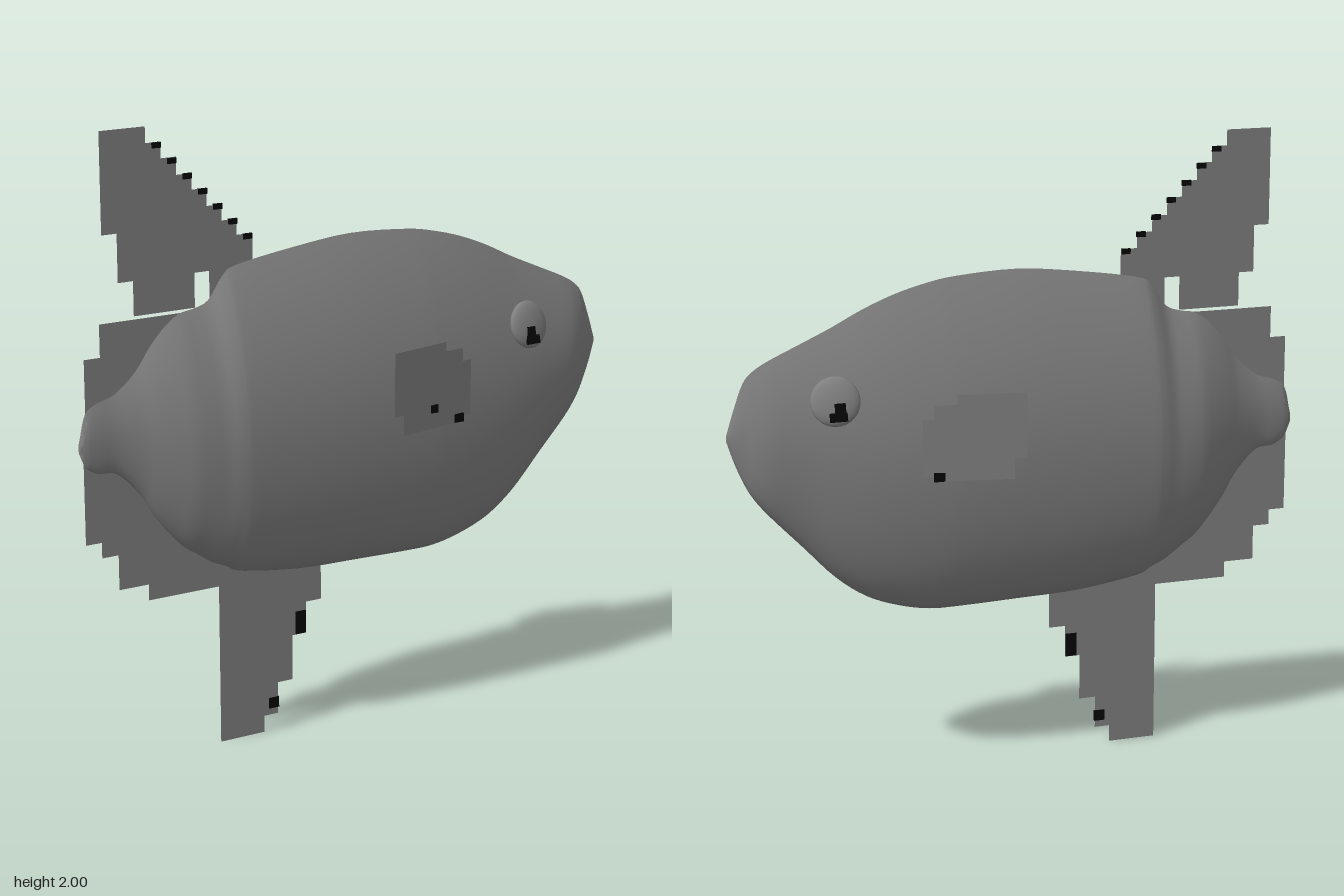
import * as THREE from 'three';
import { toCreasedNormals } from 'three/addons/utils/BufferGeometryUtils.js';

const grey = new THREE.MeshStandardMaterial({ name: 'skin grey', color: 0x808080 });
const finGrey = new THREE.MeshStandardMaterial({ name: 'fin grey', color: 0x808080, side: THREE.DoubleSide });
const black = new THREE.MeshStandardMaterial({ name: 'black', color: 0x050505 });

// Body stations from tail to nose: x, top y, bottom y, half width
const stations = [
  [-0.94, 1.07, 1.03, 0.008], [-0.92, 1.15, 0.985, 0.016], [-0.88, 1.18, 0.96, 0.02],
  [-0.82, 1.2, 0.95, 0.026], [-0.75, 1.26, 0.88, 0.047], [-0.7, 1.33, 0.8, 0.07],
  [-0.65, 1.385, 0.735, 0.092], [-0.6, 1.42, 0.68, 0.112], [-0.55, 1.43, 0.645, 0.122],
  [-0.5, 1.45, 0.61, 0.13], [-0.45, 1.52, 0.588, 0.144], [-0.4, 1.548, 0.565, 0.149],
  [-0.2, 1.58, 0.537, 0.157], [0, 1.6, 0.53, 0.16], [0.2, 1.59, 0.525, 0.157],
  [0.3, 1.573, 0.527, 0.151], [0.4, 1.545, 0.548, 0.142], [0.5, 1.505, 0.587, 0.13],
  [0.6, 1.455, 0.66, 0.114], [0.7, 1.41, 0.765, 0.094], [0.8, 1.365, 0.87, 0.074],
  [0.85, 1.335, 0.93, 0.053], [0.88, 1.3, 0.98, 0.034], [0.91, 1.22, 1.05, 0.017],
  [0.935, 1.14, 1.125, 0.002],
];

// Section: rounded belly below, pointed back above
function sectionWidth(v) {
  if (v < 0.45) return Math.sqrt(Math.max(0, 1 - ((0.45 - v) / 0.45) ** 2));
  return 1 - ((v - 0.45) / 0.55) ** 2;
}

function bodyGeometry(rings = 96, sides = 48) {
  const spline = (map) => new THREE.CatmullRomCurve3(stations.map(map), false, 'catmullrom', 0.5);
  const outline = spline(([x, top, bottom]) => new THREE.Vector3(x, top, bottom));
  const widths = spline(([x, , , w]) => new THREE.Vector3(x, w, 0));
  const positions = [], index = [];
  for (let i = 0; i <= rings; i++) {
    const { x, y: top, z: bottom } = outline.getPoint(i / rings);
    const width = widths.getPoint(i / rings).y;
    for (let k = 0; k < sides; k++) {
      const a = (k / sides) * Math.PI * 2;
      const v = (1 - Math.cos(a)) / 2;
      positions.push(x, bottom + (top - bottom) * v, width * sectionWidth(v) * Math.sign(Math.sin(a)));
      if (i === rings) continue;
      const p = i * sides + k, q = i * sides + ((k + 1) % sides);
      index.push(p, p + sides, q + sides, p, q + sides, q);
    }
  }
  // End caps
  const last = rings * sides;
  for (let k = 1; k < sides - 1; k++) {
    index.push(0, k, k + 1, last, last + k + 1, last + k);
  }
  const geometry = new THREE.BufferGeometry();
  geometry.setAttribute('position', new THREE.Float32BufferAttribute(positions, 3));
  geometry.setIndex(index);
  return toCreasedNormals(geometry, 1.0);
}

function add(parent, name, geometry, material) {
  const mesh = new THREE.Mesh(geometry, material);
  mesh.name = name;
  parent.add(mesh);
  return mesh;
}

const finGeometry = (points) =>
  new THREE.ShapeGeometry(new THREE.Shape(points.map(([x, y]) => new THREE.Vector2(x, y))));

function speck(parent, x, y, w, h, z = 0) {
  add(parent, 'speck', new THREE.BoxGeometry(w, h, 0.008), black).position.set(x, y, z);
}

export function createModel() {
  const model = new THREE.Group();
  model.name = 'sunfish';
  add(model, 'body', bodyGeometry(), grey);

  // Stepped fins on the centre plane
  add(model, 'dorsalFin', finGeometry([
    [-0.85, 2], [-0.7, 2], [-0.7, 1.95], [-0.65, 1.95], [-0.65, 1.9], [-0.6, 1.9], [-0.6, 1.845],
    [-0.55, 1.845], [-0.55, 1.795], [-0.5, 1.795], [-0.5, 1.74], [-0.45, 1.74], [-0.45, 1.69],
    [-0.4, 1.69], [-0.4, 1.64], [-0.345, 1.64], [-0.345, 1.5], [-0.44, 1.45], [-0.495, 1.45],
    [-0.495, 1.54], [-0.545, 1.54], [-0.545, 1.432], [-0.75, 1.432], [-0.75, 1.54],
    [-0.8, 1.54], [-0.8, 1.69], [-0.85, 1.69],
  ]), finGrey);
  add(model, 'tailFin', finGeometry([
    [-0.865, 1.422], [-0.5, 1.422], [-0.5, 0.525], [-0.72, 0.525], [-0.72, 0.577], [-0.82, 0.577],
    [-0.82, 0.69], [-0.875, 0.69], [-0.875, 0.74], [-0.928, 0.74], [-0.928, 1.1],
    [-0.918, 1.1], [-0.918, 1.32], [-0.865, 1.32],
  ]), finGrey);
  add(model, 'analFin', finGeometry([
    [-0.477, 0], [-0.32, 0], [-0.32, 0.055], [-0.27, 0.055], [-0.27, 0.16], [-0.215, 0.16],
    [-0.215, 0.31], [-0.165, 0.31], [-0.165, 0.415], [-0.11, 0.415], [-0.11, 0.57],
    [-0.4, 0.57], [-0.5, 0.62], [-0.5, 0.525], [-0.477, 0.525],
  ]), finGrey);

  // Dark specks along the fin steps
  for (let i = 0; i < 7; i++) speck(model, -0.665 + 0.0505 * i, 1.941 - 0.0515 * i, 0.03, 0.017);
  speck(model, -0.185, 0.35, 0.036, 0.076);
  speck(model, -0.285, 0.095, 0.035, 0.035);

  for (const side of [1, -1]) {
    const label = side > 0 ? 'left' : 'right';
    const finZ = (x) => side * (0.208 - 0.19 * (x - 0.04));

    // Side fin slanting outward toward the tail
    const side_fin = finGeometry([
      [0.037, 1.255], [0.25, 1.255], [0.25, 1.225], [0.32, 1.222], [0.32, 1.18], [0.355, 1.18],
      [0.355, 1.0], [0.32, 1.0], [0.32, 0.983], [0.075, 0.983], [0.075, 1.05], [0.037, 1.05],
    ]);
    const p = side_fin.attributes.position;
    for (let i = 0; i < p.count; i++) p.setZ(i, finZ(p.getX(i)));
    side_fin.computeVertexNormals();
    add(model, label + 'SideFin', side_fin, finGrey);
    speck(model, 0.305, 0.997, 0.034, 0.028, finZ(0.305));
    if (side > 0) speck(model, 0.2, 1.047, 0.026, 0.026, finZ(0.2));

    // Bulging eye following the slope of the head
    const eye = new THREE.Group();
    eye.name = label + 'Eye';
    eye.position.set(0.613, 1.245, side * 0.088);
    eye.rotation.set(-0.28 * side, 0.2 * side, 0);
    add(eye, 'eyeball', new THREE.SphereGeometry(1, 32, 20).scale(0.077, 0.077, 0.024), grey);
    speck(eye, -0.012, -0.03, 0.034, 0.045, side * 0.0205);
    speck(eye, -0.005, -0.05, 0.055, 0.028, side * 0.0175);
    model.add(eye);
  }
  return model;
}
